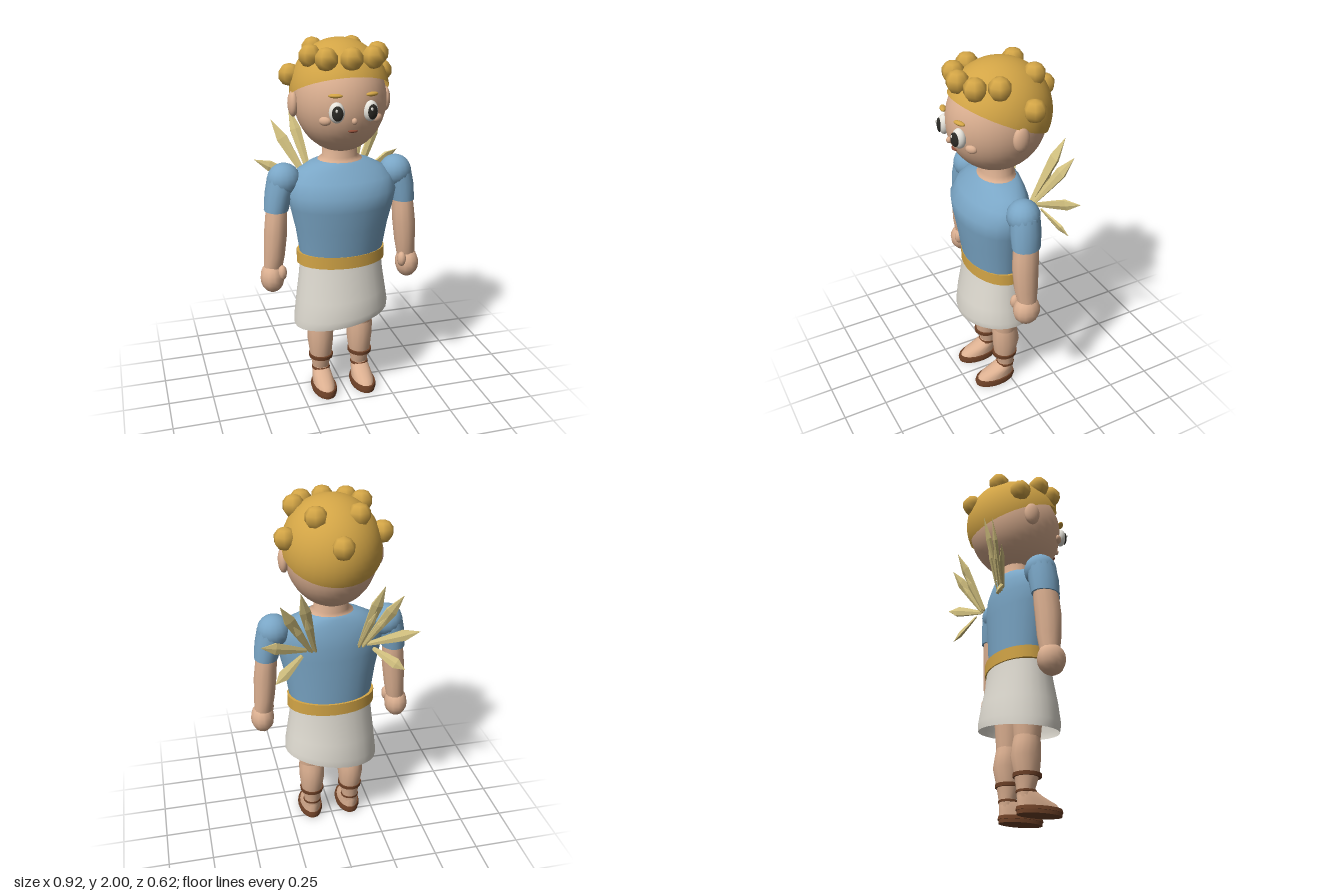
import * as THREE from 'three';

const mat = (name, color, extra = {}) => {
  const m = new THREE.MeshStandardMaterial({ color, ...extra });
  m.name = name;
  return m;
};

// Stacked ellipse sections, bottom to top: [y, half width, front z, back z, centre x]
function loft(sections, n = 16, caps = true) {
  const pos = [], idx = [];
  const ring = ([y, rx, zf, zb, cx = 0]) => {
    const start = pos.length / 3;
    for (let i = 0; i < n; i++) {
      const a = (i / n) * Math.PI * 2;
      pos.push(cx + rx * Math.sin(a), y, (zf + zb) / 2 + ((zf - zb) / 2) * Math.cos(a));
    }
    return start;
  };
  const rings = sections.map(ring);
  for (let r = 0; r < rings.length - 1; r++) {
    for (let i = 0; i < n; i++) {
      const j = (i + 1) % n, a = rings[r], b = rings[r + 1];
      idx.push(a + i, a + j, b + j, a + i, b + j, b + i);
    }
  }
  if (caps) {
    [sections[0], sections[sections.length - 1]].forEach((s, top) => {
      const c = ring(s);
      for (let i = 1; i < n - 1; i++) {
        if (top) idx.push(c, c + i, c + i + 1);
        else idx.push(c, c + i + 1, c + i);
      }
    });
  }
  const g = new THREE.BufferGeometry();
  g.setAttribute('position', new THREE.Float32BufferAttribute(pos, 3));
  g.setIndex(idx);
  g.computeVertexNormals();
  return g;
}

export function createModel() {
  const skin = mat('skin', 0xdcb091);
  const gold = mat('gold', 0xd3a546, { side: THREE.DoubleSide });
  const blue = mat('tunic blue', 0x7aa6c6);
  const cloth = mat('skirt cloth', 0xdedad0, { side: THREE.DoubleSide });
  const leather = mat('sandal leather', 0x6e4127);
  const feather = mat('feather', 0xd8c683);
  const white = mat('eye white', 0xf2efe6);
  const dark = mat('pupil', 0x2b2a25);
  const lip = mat('lip', 0x8f4d38);

  const model = new THREE.Group();
  model.name = 'wingedFigure';
  const add = (name, geo, material, parent = model) => {
    const m = new THREE.Mesh(geo, material);
    m.name = name;
    parent.add(m);
    return m;
  };
  const ball = (name, material, pos, size, rotY = 0, segs = [20, 14]) => {
    const m = add(name, new THREE.SphereGeometry(1, ...segs), material);
    m.position.set(...pos);
    m.scale.set(...size);
    m.rotation.y = rotY;
    return m;
  };

  // Head and neck
  ball('head', skin, [0, 1.69, 0.01], [0.242, 0.28, 0.268], 0, [32, 24]);
  add('neck', loft([[1.33, 0.14, 0.125, -0.1], [1.37, 0.12, 0.11, -0.085],
    [1.385, 0.095, 0.095, -0.08], [1.47, 0.092, 0.092, -0.076]], 20), skin);
  ball('nose', skin, [0, 1.622, 0.276], [0.015, 0.017, 0.016], 0, [10, 8]);
  ball('mouth', lip, [0, 1.567, 0.25], [0.026, 0.008, 0.012], 0, [12, 8]);

  // Hair cap, tilted back, with faceted curls
  const cap = add('hairCap', new THREE.SphereGeometry(0.28, 32, 14, 0, Math.PI * 2, 0, Math.PI / 2), gold);
  cap.position.set(0, 1.72, 0);
  cap.scale.x = 0.93;
  cap.rotation.x = -0.43;
  const curls = [[0, 1.81, -0.262], [0, 1.922, 0.222]];
  for (const s of [1, -1]) {
    curls.push([s * 0.108, 1.93, -0.14], [s * 0.25, 1.81, -0.065],
      [s * 0.177, 1.925, 0.085], [s * 0.12, 1.92, 0.188]);
  }
  for (const p of curls) ball('curl', gold, p, [0.06, 0.06, 0.06], 0, [7, 5]);

  // Torso, belt and slanted skirt
  add('tunic', loft([[0.8, 0.225, 0.185, -0.12], [0.86, 0.235, 0.195, -0.123], [1.0, 0.257, 0.215, -0.128],
    [1.12, 0.285, 0.235, -0.132], [1.2, 0.3, 0.24, -0.133], [1.27, 0.28, 0.195, -0.125],
    [1.32, 0.235, 0.15, -0.11], [1.355, 0.165, 0.125, -0.1], [1.367, 0.115, 0.105, -0.088]], 24), blue);
  const belt = add('belt', new THREE.LatheGeometry([[0.93, -0.034], [1, -0.034], [1, -0.034], [1, 0.034],
    [1, 0.034], [0.93, 0.034]].map(p => new THREE.Vector2(...p)), 28), gold);
  belt.scale.set(0.248, 1, 0.17);
  belt.position.set(0, 0.826, 0.027);
  const skirtGeo = loft([[0.457, 0.268, 0.232, -0.178], [0.5, 0.267, 0.241, -0.18], [0.6, 0.254, 0.228, -0.165],
    [0.72, 0.238, 0.203, -0.142], [0.85, 0.226, 0.185, -0.132]], 28, false);
  const p = skirtGeo.attributes.position;
  for (let i = 0; i < p.count; i++) {
    const w = Math.min(1, (0.85 - p.getY(i)) / 0.39);
    p.setY(i, p.getY(i) + 0.16 * p.getX(i) * w * w);
  }
  skirtGeo.computeVertexNormals();
  add('skirt', skirtGeo, cloth);

  // Feather from root to tip, flattened front to back
  const featherAt = (name, root, tip, width) => {
    const a = new THREE.Vector3(...root), dir = new THREE.Vector3(...tip).sub(a);
    const len = dir.length();
    dir.normalize();
    const pts = [[0, 0], [0.35, 0.02], [0.8, 0.45], [1, 0.7], [0, 1]];
    const geo = new THREE.LatheGeometry(pts.map(([r, y]) => new THREE.Vector2(r * width, y * len)), 6).toNonIndexed();
    geo.scale(1, 1, 0.4);
    geo.computeVertexNormals();
    const side = dir.clone().cross(new THREE.Vector3(0, 0.3, -1)).normalize();
    geo.applyMatrix4(new THREE.Matrix4().makeBasis(side, dir, side.clone().cross(dir)).setPosition(a));
    add(name, geo, feather);
  };

  for (const s of [1, -1]) {
    // Face
    ball('ear', skin, [s * 0.25, 1.672, 0.005], [0.028, 0.068, 0.045]);
    ball('eye', white, [s * 0.088, 1.668, 0.262], [0.04, 0.053, 0.032], s * 0.3);
    ball('pupil', dark, [s * 0.091, 1.668, 0.288], [0.028, 0.038, 0.012], s * 0.3);
    ball('eyeGlint', white, [s * 0.091 - 0.008, 1.684, 0.3], [0.007, 0.009, 0.004], 0, [8, 6]);
    ball('eyebrow', gold, [s * 0.095, 1.752, 0.262], [0.037, 0.011, 0.016], s * 0.35, [12, 8]);
    ball('cheek', skin, [s * 0.138, 1.62, 0.222], [0.032, 0.023, 0.018], s * 0.6, [14, 10]);

    // Arm
    ball('shoulder', blue, [s * 0.312, 1.272, 0.022], [0.09, 0.09, 0.088], 0, [16, 12]);
    add('sleeve', loft([[1.11, 0.066, 0.105, -0.05, s * 0.358], [1.2, 0.074, 0.108, -0.058, s * 0.343],
      [1.29, 0.078, 0.1, -0.058, s * 0.322]], 14), blue);
    add('arm', loft([[0.78, 0.052, 0.085, -0.02, s * 0.385], [0.86, 0.058, 0.1, -0.03, s * 0.376],
      [0.98, 0.064, 0.107, -0.035, s * 0.367], [1.06, 0.061, 0.103, -0.04, s * 0.361],
      [1.13, 0.057, 0.095, -0.04, s * 0.356]], 12), skin);
    ball('hand', skin, [s * 0.392, 0.725, 0.037], [0.066, 0.086, 0.076], 0, [12, 10]);
    ball('thumb', skin, [s * 0.345, 0.762, 0.08], [0.026, 0.043, 0.03], 0, [10, 8]);

    // Leg
    const x = s * 0.117;
    add('thigh', loft([[0.39, 0.072, 0.092, -0.046, x], [0.5, 0.08, 0.105, -0.055, x],
      [0.76, 0.09, 0.12, -0.07, x]], 14), skin);
    add('shin', loft([[0.08, 0.045, 0.055, -0.03, x], [0.13, 0.049, 0.062, -0.034, x],
      [0.2, 0.062, 0.085, -0.046, x], [0.29, 0.073, 0.094, -0.066, x],
      [0.36, 0.074, 0.094, -0.054, x], [0.41, 0.07, 0.088, -0.044, x]], 14), skin);

    // Sandal
    add('foot', loft([[0.03, 0.06, 0.205, -0.032, x], [0.06, 0.058, 0.178, -0.032, x],
      [0.09, 0.053, 0.11, -0.032, x], [0.12, 0.044, 0.062, -0.028, x]], 16), skin);
    add('sole', loft([[0, 0.067, 0.21, -0.035, x], [0.019, 0.067, 0.21, -0.035, x]], 20), leather);
    add('insole', loft([[0.019, 0.072, 0.215, -0.04, x], [0.038, 0.068, 0.21, -0.036, x]], 20), leather);
    add('calfStrap', loft([[0.185, 0.069, 0.096, -0.052, x], [0.205, 0.07, 0.097, -0.053, x]], 14), leather);
    add('ankleStrap', loft([[0.107, 0.053, 0.074, -0.036, x], [0.119, 0.052, 0.068, -0.036, x]], 14), leather);

    // Wing: four long feathers and two short coverts
    featherAt('innerFeather', [s * 0.12, 1.2, -0.13], [s * 0.215, 1.6, -0.272], 0.034);
    featherAt('upperFeather', [s * 0.14, 1.2, -0.13], [s * 0.318, 1.535, -0.263], 0.034);
    featherAt('outerFeather', [s * 0.16, 1.21, -0.13], [s * 0.42, 1.315, -0.25], 0.034);
    featherAt('lowerFeather', [s * 0.19, 1.195, -0.152], [s * 0.35, 1.085, -0.235], 0.034);
    featherAt('covert', [s * 0.115, 1.2, -0.145], [s * 0.185, 1.45, -0.235], 0.02);
    featherAt('covert', [s * 0.135, 1.2, -0.145], [s * 0.25, 1.41, -0.225], 0.02);
  }
  return model;
}
